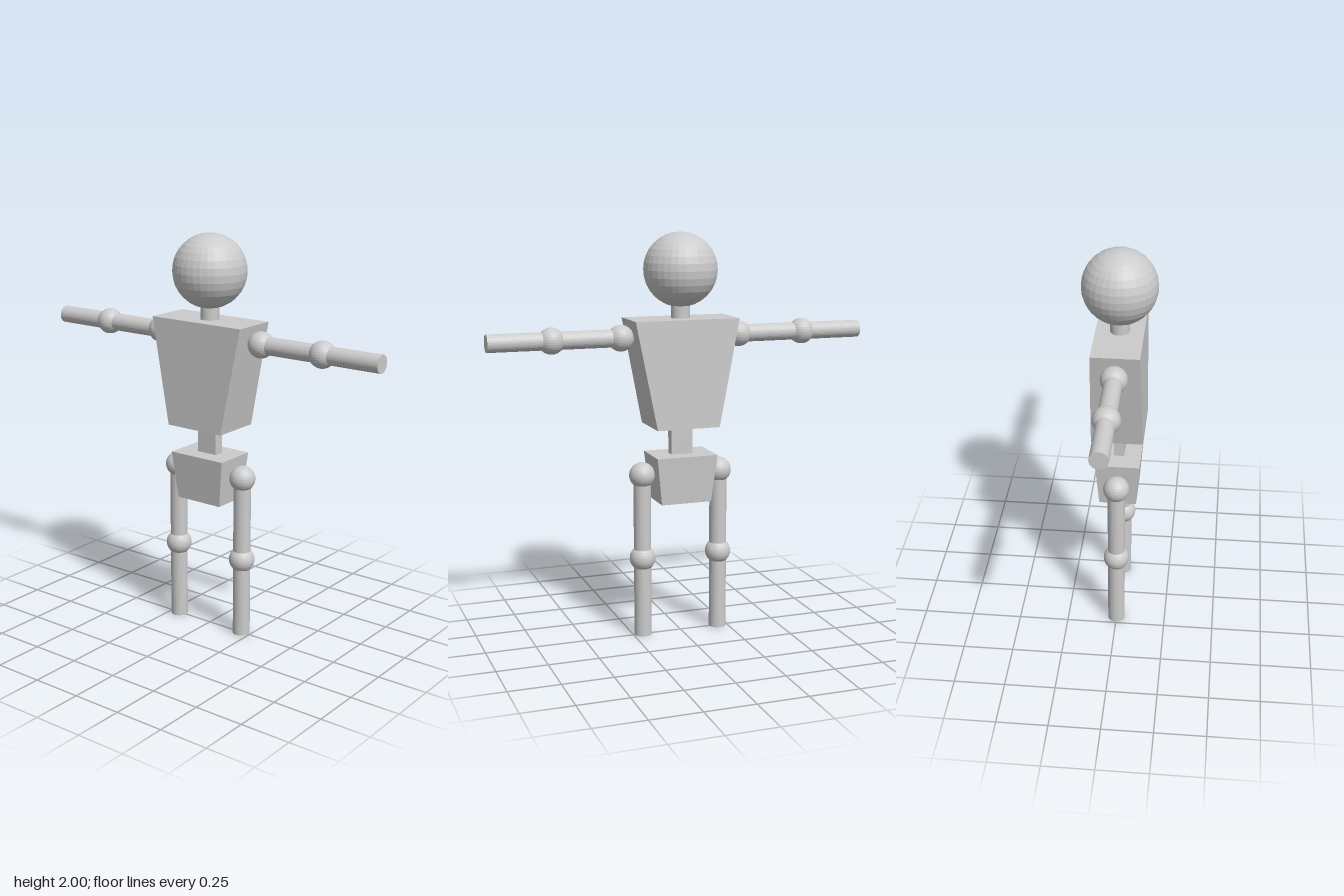
import * as THREE from 'three';

const material = new THREE.MeshStandardMaterial({ color: 0xcccccc, flatShading: true });

function add(parent, name, geometry, x = 0, y = 0, z = 0) {
  const mesh = new THREE.Mesh(geometry, material);
  mesh.name = name;
  mesh.position.set(x, y, z);
  parent.add(mesh);
  return mesh;
}

// Box whose top and bottom have different half sizes in x and z
function taperedBox(y0, y1, bottom, top) {
  const g = new THREE.BoxGeometry(2, y1 - y0, 2);
  const p = g.attributes.position;
  for (let i = 0; i < p.count; i++) {
    const [hx, hz] = p.getY(i) > 0 ? top : bottom;
    p.setX(i, p.getX(i) * hx);
    p.setZ(i, p.getZ(i) * hz);
  }
  g.translate(0, (y0 + y1) / 2, 0);
  g.computeVertexNormals();
  return g;
}

const ball = (r) => new THREE.SphereGeometry(r, 32, 16);
const rod = (r, length) => new THREE.CylinderGeometry(r, r, length, 32);

export function createModel() {
  const model = new THREE.Group();
  model.name = 'figure';

  // Head and trunk
  add(model, 'head', ball(0.18), 0, 1.82, 0);
  add(model, 'neck', rod(0.046, 0.12), 0, 1.63, 0);
  add(model, 'torso', taperedBox(1.06, 1.587, [0.126, 0.159], [0.115, 0.263]));
  add(model, 'waist', new THREE.BoxGeometry(0.05, 0.16, 0.11), 0, 0.99, 0);
  add(model, 'pelvis', taperedBox(0.682, 0.918, [0.092, 0.128], [0.109, 0.155]));

  // Limbs, mirrored across z
  const jointR = 0.064, limbR = 0.043;
  for (const s of [1, -1]) {
    const arm = new THREE.Group();
    arm.name = s > 0 ? 'frontArm' : 'backArm';
    add(arm, 'shoulder', ball(jointR), 0, 1.5, s * 0.303);
    add(arm, 'upperArm', rod(limbR, 0.34), 0, 1.5, s * 0.473).rotation.x = Math.PI / 2;
    add(arm, 'elbow', ball(jointR), 0, 1.5, s * 0.643);
    add(arm, 'forearm', rod(limbR, 0.31), 0, 1.5, s * 0.798).rotation.x = Math.PI / 2;

    const leg = new THREE.Group();
    leg.name = s > 0 ? 'frontLeg' : 'backLeg';
    add(leg, 'hip', ball(jointR), 0, 0.82, s * 0.2);
    add(leg, 'thigh', rod(limbR, 0.42), 0, 0.607, s * 0.2);
    add(leg, 'knee', ball(jointR), 0, 0.397, s * 0.2);
    add(leg, 'shin', rod(limbR, 0.397), 0, 0.1985, s * 0.2);
    model.add(arm, leg);
  }
  return model;
}
